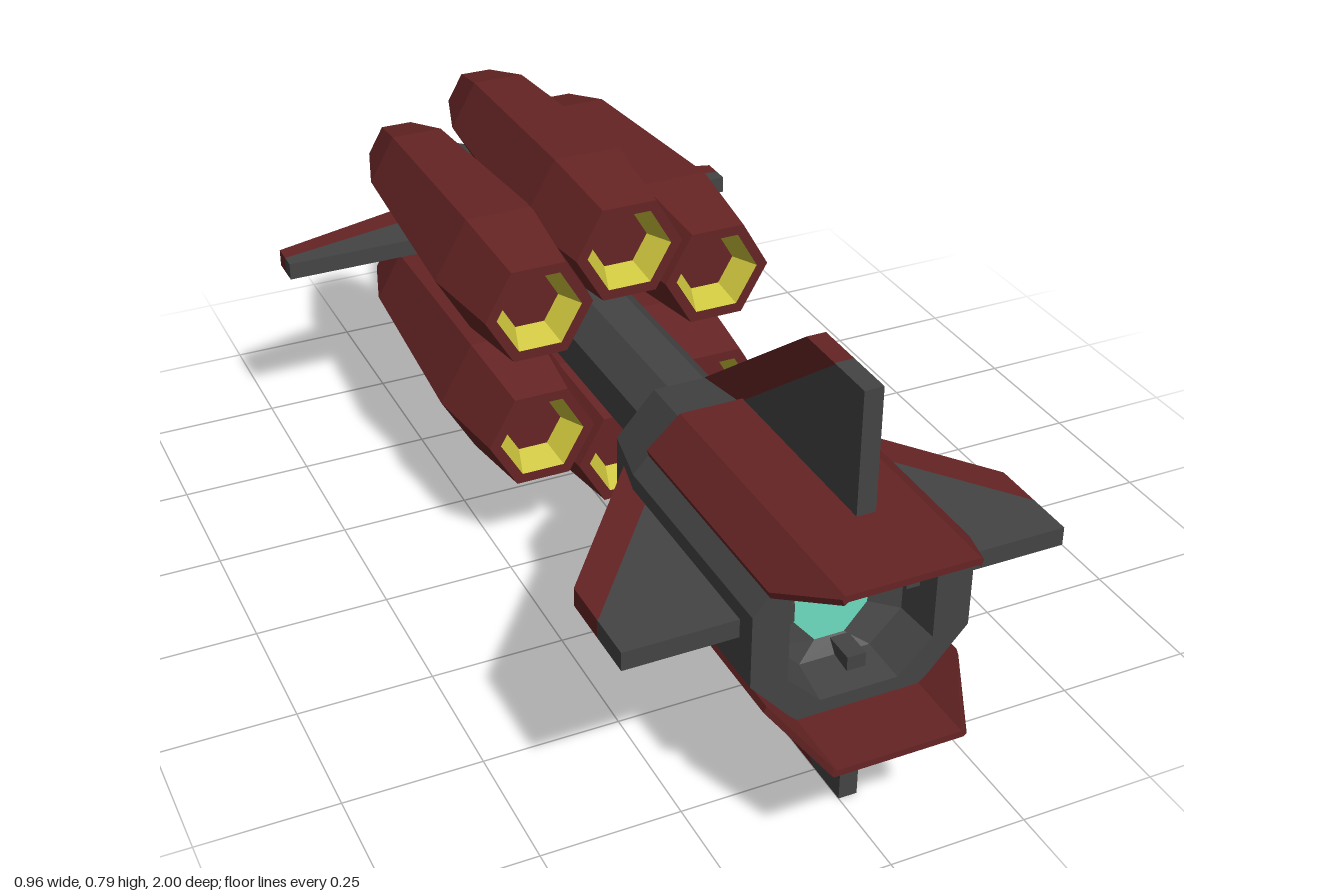
import * as THREE from 'three';

const CY = 0.393; // height of the main axis
const mat = (color, flat = true) => new THREE.MeshStandardMaterial({ color, flatShading: flat });
const grey = mat(0x444444), red = mat(0x662424), yellow = mat(0xccc43c), teal = mat(0x6cdcbe);
const smoothGrey = mat(0x444444, false);

function mesh(name, geometry, material, parent) {
  const m = new THREE.Mesh(geometry, material);
  m.name = name;
  parent.add(m);
  return m;
}

// Joins outlines (counter-clockwise seen from +z) into a faceted skin along z.
function loft(sections) {
  const pos = [];
  const v = (s, i) => {
    const p = s.pts[i % s.pts.length];
    return new THREE.Vector3(p[0], p[1], s.z);
  };
  const tri = (a, b, c) => {
    const area = b.clone().sub(a).cross(c.clone().sub(a)).length();
    if (area > 1e-8) for (const p of [a, b, c]) pos.push(p.x, p.y, p.z);
  };
  for (let k = 0; k + 1 < sections.length; k++) {
    const a = sections[k], b = sections[k + 1];
    for (let i = 0; i < a.pts.length; i++) {
      tri(v(a, i), v(a, i + 1), v(b, i + 1));
      tri(v(a, i), v(b, i + 1), v(b, i));
    }
  }
  const g = new THREE.BufferGeometry();
  g.setAttribute('position', new THREE.Float32BufferAttribute(pos, 3));
  g.computeVertexNormals();
  return g;
}

// Regular polygon outline.
function ngon(n, r, turn = 0) {
  return Array.from({ length: n }, (_, i) => {
    const a = (i / n) * Math.PI * 2 + turn;
    return [r * Math.cos(a), r * Math.sin(a)];
  });
}

// Octagon with half width w, half height h, half side length s and half top length t.
const octagon = (w, h, t, s) => [[w, -s], [w, s], [t, h], [-t, h], [-w, s], [-w, -s], [-t, -h], [t, -h]];

// Flat plate from (radius, z) points, its thickness going from y = 0 upwards.
function plate(points, thickness) {
  const shape = new THREE.Shape(points.map((p) => new THREE.Vector2(p[0], p[1])));
  return new THREE.ExtrudeGeometry(shape, { depth: thickness, bevelEnabled: false })
    .rotateX(Math.PI / 2).translate(0, thickness, 0);
}

// Two-colour fin: red leading strip and grey trailing plate.
function fin(name, trailing, leading, angle, x, y, parent) {
  const g = new THREE.Group();
  g.name = name;
  mesh('finPlate', plate(trailing, 0.034), grey, g);
  mesh('finLeadingStrip', plate(leading, 0.034), red, g);
  g.rotation.z = angle;
  g.position.set(x, y, 0);
  parent.add(g);
}

function createModel() {
  const model = new THREE.Group();
  model.name = 'spacecraft';
  const axis = new THREE.Group();
  axis.name = 'hull';
  axis.position.y = CY;
  model.add(axis);

  // Front housing with its recessed mouth
  const body = (k) => octagon(0.195 * k, 0.158 * k, 0.113 * k, 0.066 * k);
  const mouth = (k) => octagon(0.13 * k, 0.132 * k, 0.07 * k, 0.072 * k);
  const glow = octagon(0.067, 0.097, 0.027, 0.05);
  mesh('frontHousing', loft([
    { z: 0.31, pts: body(0) },
    { z: 0.31, pts: body(0.85) },
    { z: 0.44, pts: body(1) },
    { z: 0.87, pts: body(1) },
    { z: 0.87, pts: mouth(1) },
    { z: 0.79, pts: mouth(0.92) },
    { z: 0.77, pts: glow },
  ]), grey, axis);
  mesh('glowingCore', loft([
    { z: 0.77, pts: glow },
    { z: 0.77, pts: glow.map(() => [0, 0]) },
  ]), teal, axis);

  // Folded armour panels above and below the housing
  const fold = (w) => {
    const y = 0.17 - (w - 0.115) * 0.92, t = 0.012;
    return [[w, y], [0.115, 0.17], [-0.115, 0.17], [-w, y],
      [-w + 0.004, y - t], [-0.11, 0.17 - t], [0.11, 0.17 - t], [w - 0.004, y - t]];
  };
  const panelSides = [{ z: 0.45, pts: fold(0.175) }, { z: 0.88, pts: fold(0.175) }, { z: 1, pts: fold(0.12) }];
  for (const [name, turn] of [['topPanel', 0], ['bottomPanel', Math.PI]]) {
    const panel = new THREE.Group();
    panel.name = name;
    panel.rotation.z = turn;
    axis.add(panel);
    mesh('panelSheet', loft(panelSides), red, panel);
    for (const [z, w, flip] of [[0.45, 0.175, true], [1, 0.12, false]]) {
      const end = new THREE.ShapeGeometry(new THREE.Shape(fold(w).map((p) => new THREE.Vector2(...p))));
      if (flip) end.rotateY(Math.PI);
      mesh('panelEnd', end.translate(0, 0, z), red, panel);
    }
  }

  // Four large fins around the housing
  const trailing = [[0.1, 0.83], [0.1, 0.365], [0.39, 0.74], [0.393, 0.74], [0.393, 0.83]];
  const leading = [[0.1, 0.365], [0.1, 0.31], [0.135, 0.31], [0.393, 0.652], [0.393, 0.74], [0.39, 0.74]];
  fin('leftFin', trailing, leading, 0, 0, 0.003, axis);
  fin('rightFin', trailing, leading, Math.PI, 0, 0.037, axis);
  fin('topFin', trailing, leading, Math.PI / 2, 0.034, 0, axis);
  fin('bottomFin', trailing, leading, -Math.PI / 2, 0, 0, axis);

  // Octagonal spine and rounded tail
  const tube = ngon(8, 0.092, Math.PI / 8);
  mesh('spine', loft([
    { z: -0.75, pts: tube.map(() => [0, 0]) },
    { z: -0.75, pts: tube },
    { z: 0.33, pts: tube },
  ]), grey, axis);
  const tail = mesh('tailCone', new THREE.SphereGeometry(1, 32, 24), smoothGrey, axis);
  tail.scale.set(0.083, 0.083, 0.25);
  tail.position.z = -0.75;

  // Two slim wings near the tail
  const wingBack = [[0.05, -0.57], [0.05, -0.69], [0.48, -0.6], [0.48, -0.57]];
  const wingFront = [[0.05, -0.69], [0.05, -0.76], [0.48, -0.637], [0.48, -0.6]];
  fin('leftTailWing', wingBack, wingFront, 0, 0, 0.003, axis);
  fin('rightTailWing', wingBack, wingFront, Math.PI, 0, 0.037, axis);

  // Six hexagonal pods with funnel mouths
  const hex = (z, r) => ({ z, pts: ngon(6, r) });
  const podShell = loft([hex(-0.77, 0), hex(-0.77, 0.062), hex(-0.64, 0.102),
    hex(-0.19, 0.13), hex(0, 0.105), hex(0, 0.083)]);
  const podFunnel = loft([hex(0, 0.083), hex(-0.05, 0.057)]);
  const podFloor = loft([hex(-0.05, 0.057), hex(-0.05, 0)]);
  for (const [x, y] of [[0, 0.218], [0, -0.218], [0.178, 0.132], [-0.178, 0.132], [0.178, -0.132], [-0.178, -0.132]]) {
    const pod = new THREE.Group();
    pod.name = 'pod';
    pod.position.set(x, y + 0.015, 0);
    axis.add(pod);
    mesh('podShell', podShell, red, pod);
    mesh('podFunnel', podFunnel, yellow, pod);
    mesh('podFloor', podFloor, red, pod);
  }

  return model;
}

export { createModel };
